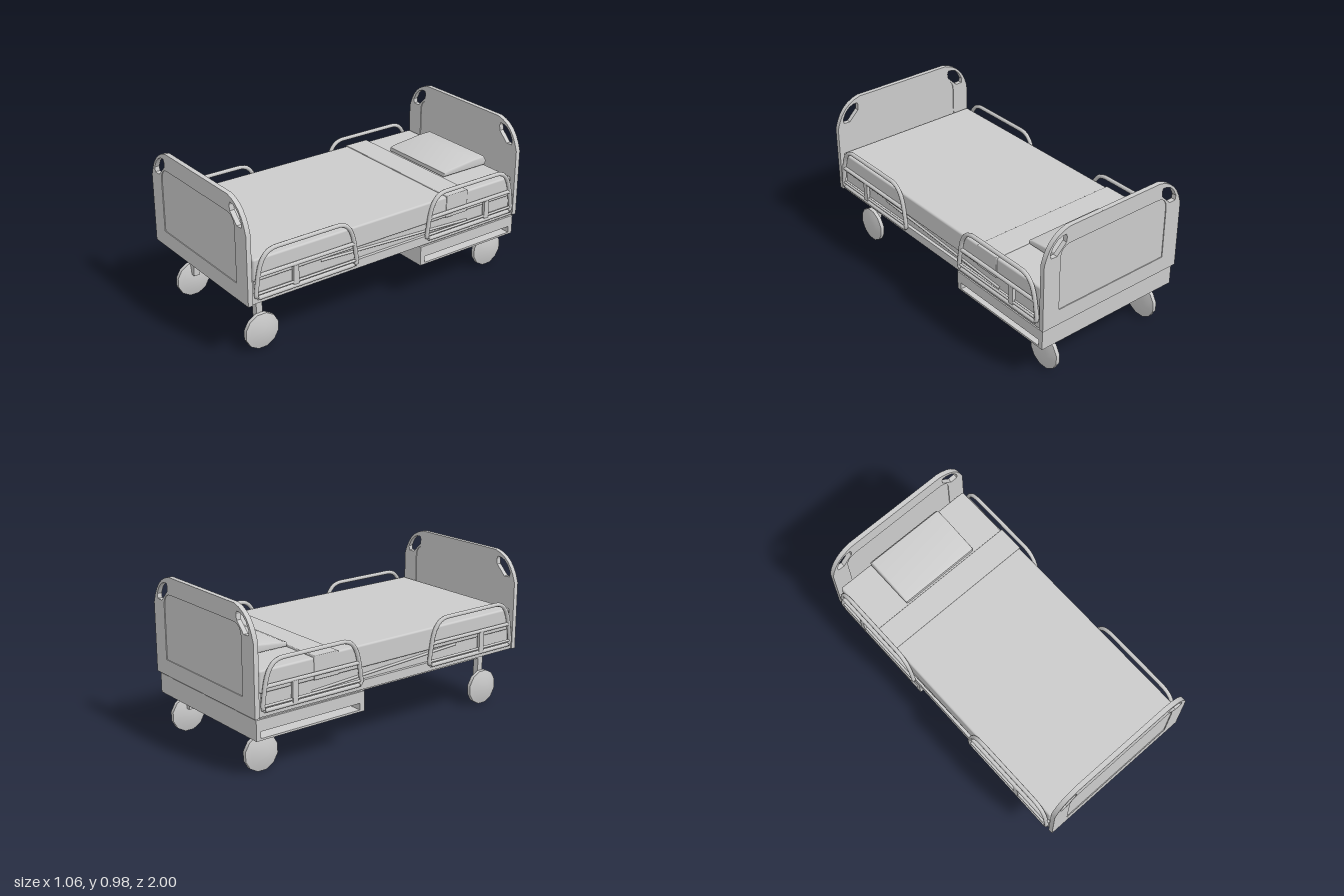
import * as THREE from 'three';
import { toCreasedNormals } from 'three/addons/utils/BufferGeometryUtils.js';
import { RoundedBoxGeometry } from 'three/addons/geometries/RoundedBoxGeometry.js';

const mat = new THREE.MeshStandardMaterial({ color: 0xcccccc });

function add(parent, name, geo, x = 0, y = 0, z = 0) {
  const m = new THREE.Mesh(geo, mat);
  m.name = name;
  m.position.set(x, y, z);
  parent.add(m);
  return m;
}

// Box given by its low and high bounds on each axis
function box(parent, name, [x0, x1], [y0, y1], [z0, z1], round = 0) {
  const s = [x1 - x0, y1 - y0, z1 - z0];
  const geo = round ? new RoundedBoxGeometry(...s, 2, round) : new THREE.BoxGeometry(...s);
  return add(parent, name, geo, (x0 + x1) / 2, (y0 + y1) / 2, (z0 + z1) / 2);
}

// Round bar between two points
function bar(parent, name, a, b, r) {
  const path = new THREE.LineCurve3(new THREE.Vector3(...a), new THREE.Vector3(...b));
  return add(parent, name, new THREE.TubeGeometry(path, 1, r, 8));
}

// End board outline with two grip holes in the upper corners
function boardShape() {
  const s = new THREE.Shape();
  s.moveTo(-0.515, 0.37);
  s.lineTo(0.515, 0.37);
  s.lineTo(0.515, 0.8);
  s.bezierCurveTo(0.485, 0.91, 0.43, 0.965, 0.34, 0.985);
  s.lineTo(-0.34, 0.985);
  s.bezierCurveTo(-0.43, 0.965, -0.485, 0.91, -0.515, 0.8);
  const grip = [[0.364, 0.945], [0.392, 0.943], [0.42, 0.932], [0.45, 0.905], [0.474, 0.859],
    [0.469, 0.831], [0.426, 0.829], [0.361, 0.893], [0.356, 0.925]];
  for (const side of [-1, 1]) {
    s.holes.push(new THREE.Path(grip.map(([x, y]) => new THREE.Vector2(side * x, y))));
  }
  return s;
}

// Recessed panel with rounded upper corners
function panelHole() {
  const p = new THREE.Path();
  p.moveTo(-0.4, 0.47);
  p.lineTo(-0.4, 0.8);
  p.quadraticCurveTo(-0.4, 0.88, -0.32, 0.88);
  p.lineTo(0.32, 0.88);
  p.quadraticCurveTo(0.4, 0.88, 0.4, 0.8);
  p.lineTo(0.4, 0.47);
  p.closePath();
  return p;
}

function endBoard(name, z) {
  const g = new THREE.Group();
  g.name = name;
  const layer = (shape, depth) => toCreasedNormals(
    new THREE.ExtrudeGeometry(shape, { depth, bevelEnabled: false, curveSegments: 6 }), 0.5);
  const face = boardShape();
  face.holes.push(panelHole());
  add(g, 'boardCore', layer(boardShape(), 0.02), 0, 0, -0.01);
  add(g, 'boardFrontFace', layer(face, 0.005), 0, 0, 0.01);
  add(g, 'boardBackFace', layer(face, 0.005), 0, 0, -0.015);
  g.position.z = z;
  return g;
}

// Tubular guard rail with a sloping, rounded top
function guardRail(name, x, z) {
  const g = new THREE.Group();
  g.name = name;
  const s = new THREE.Shape();
  s.moveTo(-0.32, 0.408);
  s.lineTo(0.32, 0.408);
  s.quadraticCurveTo(0.345, 0.408, 0.343, 0.435);
  s.lineTo(0.325, 0.55);
  s.bezierCurveTo(0.305, 0.65, 0.27, 0.688, 0.2, 0.688);
  s.lineTo(-0.2, 0.688);
  s.bezierCurveTo(-0.27, 0.688, -0.305, 0.65, -0.325, 0.55);
  s.lineTo(-0.343, 0.435);
  s.quadraticCurveTo(-0.345, 0.408, -0.32, 0.408);
  const pts = s.getPoints(6).slice(0, -1).map(p => new THREE.Vector3(0, p.y, p.x));
  const loop = new THREE.CatmullRomCurve3(pts, true, 'catmullrom', 0.15);
  add(g, 'railLoop', new THREE.TubeGeometry(loop, 90, 0.013, 8, true));
  bar(g, 'railUpperBar', [0, 0.543, -0.325], [0, 0.543, 0.325], 0.012);
  bar(g, 'railLowerBar', [0, 0.433, -0.34], [0, 0.433, 0.34], 0.008);
  box(g, 'railBracket', [-0.012, 0.008], [0.41, 0.54], [-0.018, 0.018]).position.z = z > 0 ? 0.08 : -0.13;
  g.position.set(x, 0, z);
  return g;
}

// Lens-shaped wheel turning about x
function wheelGeometry() {
  const half = [[0, 0.03], [0.04, 0.028], [0.08, 0.021], [0.112, 0.012]];
  const pts = [...half.map(([r, t]) => [r, -t]), ...half.slice().reverse()]
    .map(p => new THREE.Vector2(...p));
  const geo = new THREE.LatheGeometry(pts, 12);
  geo.rotateY(Math.PI / 12);
  geo.rotateZ(Math.PI / 2);
  return toCreasedNormals(geo, 0.6);
}

export function createModel() {
  const bed = new THREE.Group();
  bed.name = 'hospitalBed';
  bed.add(endBoard('headboard', -0.985), endBoard('footboard', 0.985));

  // Bed frame and deck
  box(bed, 'bedFrame', [-0.505, 0.505], [0.37, 0.425], [-0.972, 0.972]);
  box(bed, 'deck', [-0.485, 0.485], [0.425, 0.505], [-0.96, 0.96]);
  for (const z of [-0.963, 0.963]) {
    box(bed, 'mattressStop', [-0.505, 0.505], [0.42, 0.51], [z - 0.008, z + 0.008]);
  }

  // Mattress, blanket and folded sheet
  box(bed, 'mattress', [-0.498, 0.498], [0.5, 0.632], [-0.955, -0.4], 0.012);
  box(bed, 'blanket', [-0.502, 0.502], [0.5, 0.638], [-0.45, 0.953], 0.012);
  box(bed, 'foldedSheet', [-0.505, 0.505], [0.5, 0.643], [-0.59, -0.42], 0.005);

  // Pillow: wedge profile drawn in z and y, extruded across the bed
  const profile = new THREE.Shape();
  profile.moveTo(0.61, 0.65);
  profile.lineTo(0.935, 0.65);
  profile.lineTo(0.94, 0.665);
  profile.lineTo(0.925, 0.69);
  profile.lineTo(0.85, 0.688);
  profile.lineTo(0.63, 0.665);
  profile.lineTo(0.61, 0.658);
  const pillowGeo = new THREE.ExtrudeGeometry(profile,
    { depth: 0.52, bevelThickness: 0.01, bevelSize: 0.01, bevelSegments: 3 });
  pillowGeo.rotateY(Math.PI / 2);
  pillowGeo.rotateY(Math.PI);
  pillowGeo.translate(0.265, 0, 0);
  // the profile runs toward the headboard
  pillowGeo.computeBoundingBox();
  if (pillowGeo.boundingBox.max.z > 0) {
    pillowGeo.rotateY(Math.PI);
    pillowGeo.translate(0.01, 0, 0);
  }
  add(bed, 'pillow', toCreasedNormals(pillowGeo, 0.7));

  // Equipment housing under the head end, with an open slot through its sides
  box(bed, 'housingTop', [-0.503, 0.503], [0.288, 0.358], [-0.985, -0.23]);
  box(bed, 'housingFloor', [-0.503, 0.503], [0.235, 0.247], [-0.985, -0.23]);
  box(bed, 'housingFrontWall', [-0.503, 0.503], [0.247, 0.288], [-0.262, -0.23]);
  box(bed, 'housingBackWall', [-0.503, 0.503], [0.247, 0.288], [-0.985, -0.955]);
  box(bed, 'housingMount', [-0.49, 0.49], [0.358, 0.37], [-0.965, -0.245]);

  // Lower cross member
  box(bed, 'crossBar', [-0.35, 0.35], [0.3, 0.34], [0.82, 0.86]);

  const wheel = wheelGeometry();
  for (const side of [-1, 1]) {
    const label = side > 0 ? 'left' : 'right';
    bed.add(guardRail(label + 'FrontRail', side * 0.515, 0.606));
    bed.add(guardRail(label + 'RearRail', side * 0.515, -0.606));

    // Slanting lift link beside the deck
    bar(bed, label + 'LiftLink', [side * 0.488, 0.49, 0.5], [side * 0.488, 0.432, -0.6], 0.008);

    // Lower rail, legs and wheels
    const cx = side * 0.35;
    box(bed, label + 'LowerRail', [cx - 0.02, cx + 0.02], [0.3, 0.345], [-0.23, 0.82]);
    box(bed, label + 'FrontLeg', [cx - 0.02, cx + 0.02], [0.15, 0.37], [0.82, 0.86]);
    box(bed, label + 'RearLeg', [cx - 0.02, cx + 0.02], [0.15, 0.235], [-0.9, -0.86]);
    add(bed, label + 'FrontWheel', wheel, side * 0.385, 0.11, 0.84);
    add(bed, label + 'RearWheel', wheel, side * 0.385, 0.11, -0.88);
  }
  return bed;
}
